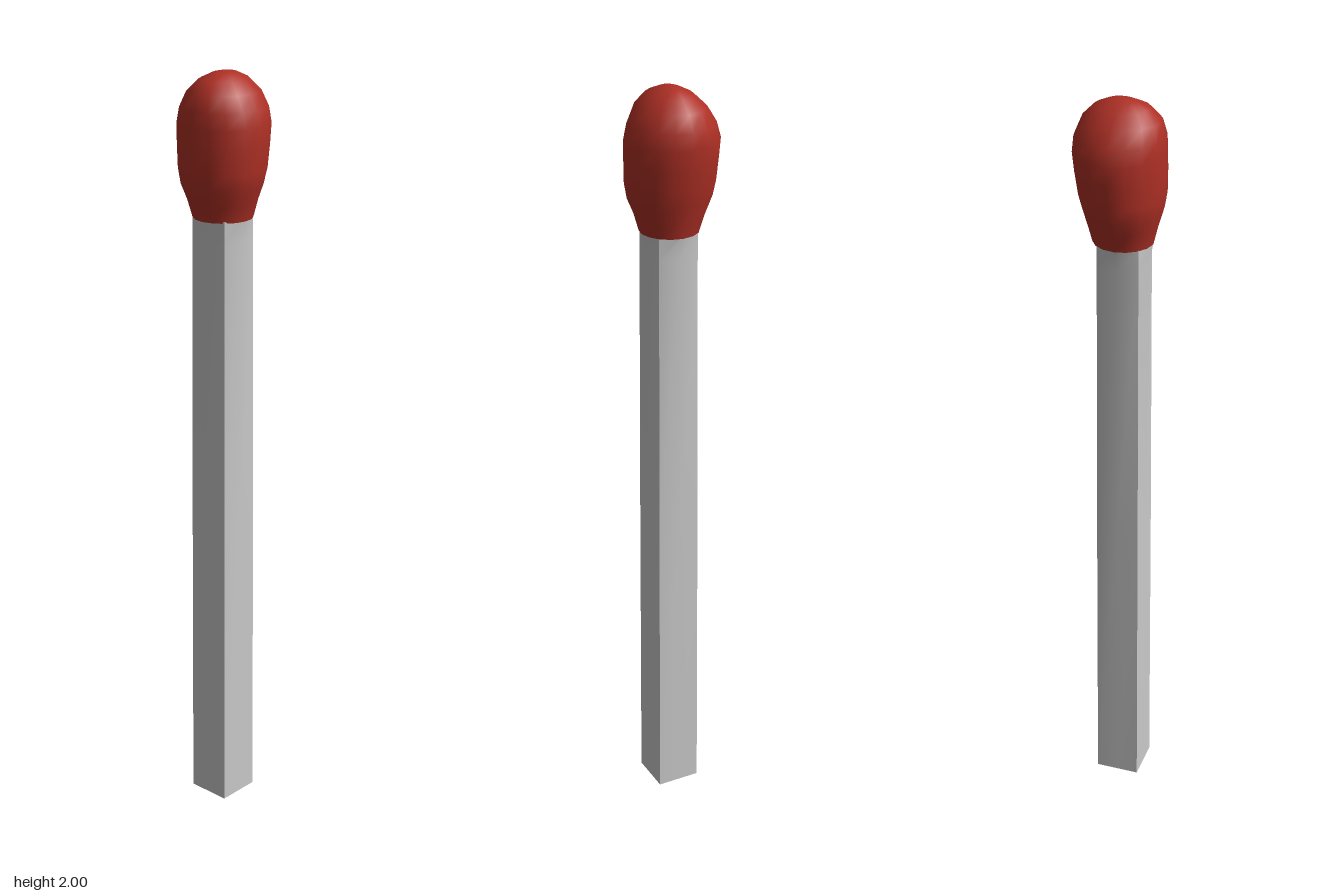
import * as THREE from 'three';
import { toCreasedNormals } from 'three/addons/utils/BufferGeometryUtils.js';

// Skins a stack of closed rings (bottom to top); an optional apex closes the top.
function loft(rings, apex) {
  const n = rings[0].length;
  const pos = rings.flat(2);
  const index = [];
  for (let r = 0; r < rings.length - 1; r++) {
    for (let i = 0; i < n; i++) {
      const a = r * n + i, b = r * n + (i + 1) % n;
      index.push(a, b, b + n, a, b + n, a + n);
    }
  }
  if (apex) {
    const c = pos.length / 3, base = (rings.length - 1) * n;
    pos.push(...apex);
    for (let i = 0; i < n; i++) index.push(base + i, base + (i + 1) % n, c);
  }
  const g = new THREE.BufferGeometry();
  g.setAttribute('position', new THREE.Float32BufferAttribute(pos, 3));
  g.setIndex(index);
  g.computeVertexNormals();
  return g;
}

// Ring of n points; radius(i) gives the x and z radii for each point.
function ring(n, y, cx, cz, radius) {
  return Array.from({ length: n }, (_, i) => {
    const a = (i / n) * Math.PI * 2;
    const [rx, rz] = radius(i);
    return [cx + Math.sin(a) * rx, y, cz + Math.cos(a) * rz];
  });
}

export function createModel() {
  const group = new THREE.Group();
  const wood = new THREE.MeshStandardMaterial({ color: 0xcacaca });
  wood.name = 'pale wood';
  const red = new THREE.MeshStandardMaterial({ color: 0xae3025 });
  red.name = 'match red';

  const add = (name, geometry, material) => {
    const mesh = new THREE.Mesh(geometry, material);
    mesh.name = name;
    group.add(mesh);
  };

  // Square stick whose sides bulge until it is round under the head:
  // y, half width at mid side, half width at corner
  const stickRings = [
    [0, 0.059, 0.059],
    [0.8, 0.061, 0.057],
    [1.58, 0.065, 0.054],
    [1.64, 0.075, 0.054],
  ].map(([y, mid, corner]) => ring(8, y, 0.004, 0.009, (i) => {
    const r = i % 2 ? corner * Math.SQRT2 : mid;
    return [r, r];
  }));
  add('stick', toCreasedNormals(loft(stickRings), 0.6), wood);

  // Red end face under the stick
  const end = new THREE.PlaneGeometry(0.118, 0.118).rotateX(Math.PI / 2);
  end.translate(0.004, 0, 0.009);
  add('stickEnd', end, red);

  // Slightly lopsided rounded head: y, centre x, centre z, radius x, radius z
  const headRings = [
    [1.635, 0.003, 0.007, 0.076, 0.077],
    [1.68, 0.002, 0.007, 0.09, 0.088],
    [1.72, 0.001, 0.008, 0.108, 0.099],
    [1.76, 0.001, 0.006, 0.115, 0.108],
    [1.82, 0.0, 0.002, 0.118, 0.113],
    [1.87, -0.001, -0.001, 0.12, 0.115],
    [1.91, 0.0, 0.0, 0.109, 0.113],
    [1.95, 0.002, 0.003, 0.087, 0.099],
    [1.98, 0.003, 0.004, 0.056, 0.07],
    [1.995, 0.003, 0.002, 0.026, 0.035],
  ].map(([y, cx, cz, rx, rz]) => ring(16, y, cx, cz, () => [rx, rz]));
  add('matchHead', loft(headRings, [0.003, 2, 0]), red);

  return group;
}
